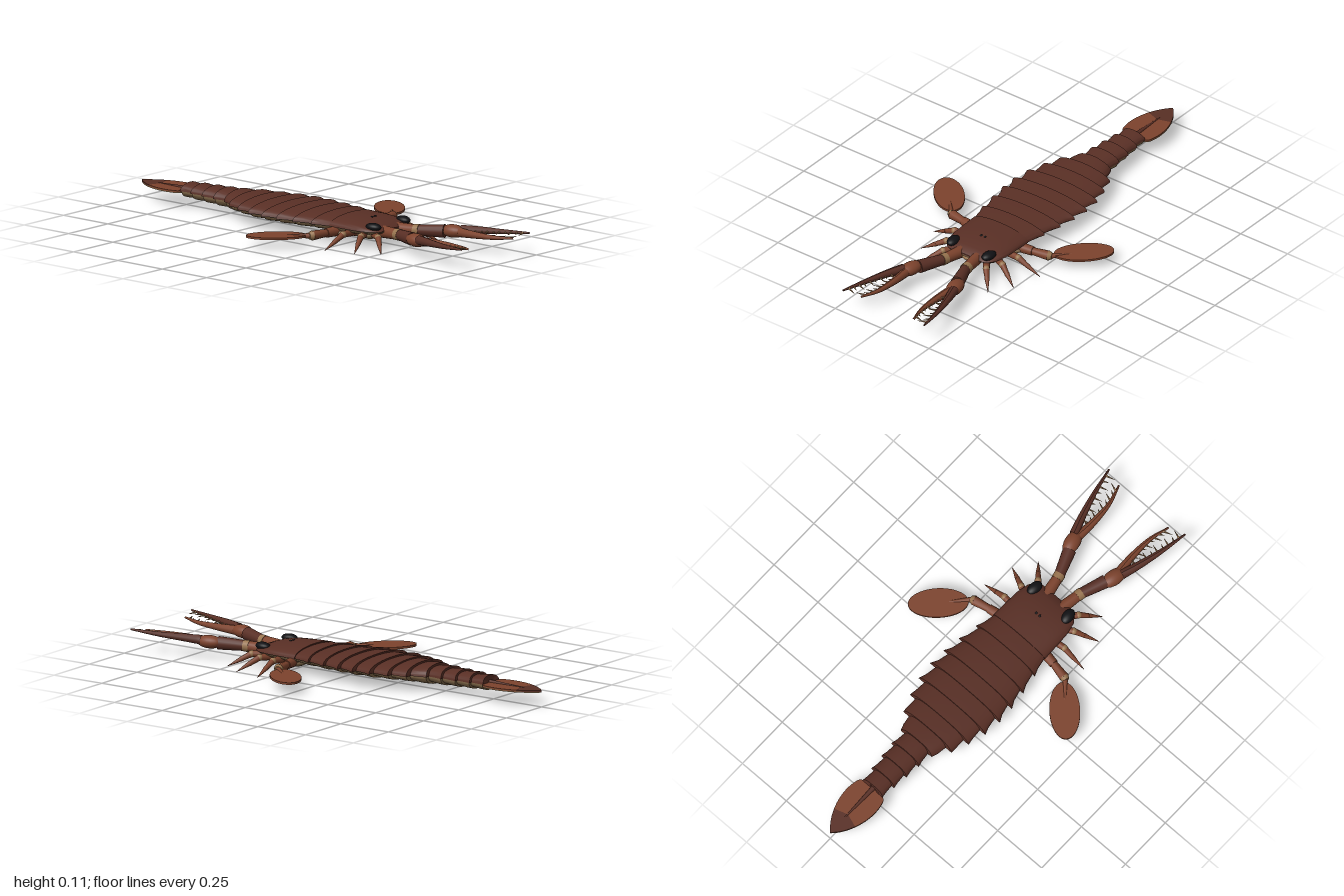
import * as THREE from 'three';
import { toCreasedNormals } from 'three/addons/utils/BufferGeometryUtils.js';

const material = (name, color, side = THREE.FrontSide) => {
  const m = new THREE.MeshStandardMaterial({ color, side });
  m.name = name;
  return m;
};
const V = (x, y, z) => new THREE.Vector3(x, y, z);

export function createModel() {
  const model = new THREE.Group();
  const shell = material('dark brown shell', 0x592f25, THREE.DoubleSide);
  const limb = material('red brown limb', 0x7d432d);
  const belly = material('tan belly', 0x806748, THREE.DoubleSide);
  const joint = material('pale joint', 0x98744f);
  const black = material('black eye', 0x111114);

  const add = (name, geometry, mat, parent = model) => {
    const mesh = new THREE.Mesh(geometry, mat);
    mesh.name = name;
    parent.add(mesh);
    return mesh;
  };

  // Half-ellipse shell through rings [z, halfWidth, height], running to the back
  function loft(rings, lower, yc = 0.07, sweep = 0) {
    const n = 24, pos = [], idx = [];
    rings.forEach(([z, w, h]) => {
      for (let j = 0; j <= n; j++) {
        const t = Math.PI * (j / n + (lower ? 1 : 0));
        const c = Math.cos(t), s = Math.sin(t);
        pos.push(w * c, yc + h * Math.sign(s) * Math.abs(s) ** 0.85, z - sweep * c ** 6);
      }
    });
    for (let i = 0; i < rings.length - 1; i++)
      for (let j = 0; j < n; j++) {
        const a = i * (n + 1) + j, b = a + n + 1;
        idx.push(a, b, a + 1, b, b + 1, a + 1);
      }
    const g = new THREE.BufferGeometry();
    g.setAttribute('position', new THREE.Float32BufferAttribute(pos, 3));
    g.setIndex(idx);
    return toCreasedNormals(g, 0.6);
  }

  // Tapered limb piece between two points
  function piece(name, a, b, r0, r1, mat, parent, sides = 12) {
    const d = b.clone().sub(a);
    const mesh = add(name, new THREE.CylinderGeometry(r1, r0, d.length(), sides), mat, parent);
    mesh.position.copy(a).addScaledVector(d, 0.5);
    mesh.quaternion.setFromUnitVectors(V(0, 1, 0), d.normalize());
    return mesh;
  }

  function blob(name, at, size, mat, parent) {
    const mesh = add(name, new THREE.SphereGeometry(1, 20, 14), mat, parent);
    mesh.position.copy(at);
    mesh.scale.copy(size);
    return mesh;
  }

  // Tube whose rings shrink toward the end of the curve
  function taperedTube(curve, r0, r1) {
    const n = 16, sides = 10, g = new THREE.TubeGeometry(curve, n, r0, sides);
    const p = g.attributes.position, v = V(0, 0, 0);
    for (let i = 0; i < p.count; i++) {
      const u = Math.floor(i / (sides + 1)) / n, c = curve.getPointAt(u);
      v.fromBufferAttribute(p, i).sub(c).multiplyScalar(1 + (r1 / r0 - 1) * u).add(c);
      p.setXYZ(i, v.x, v.y, v.z);
    }
    g.computeVertexNormals();
    return g;
  }

  // Head shield, its underside and two simple eyes
  const head = [[0.425, 0, 0.004], [0.425, 0.085, 0.006], [0.415, 0.108, 0.014], [0.385, 0.13, 0.024],
    [0.33, 0.142, 0.034], [0.26, 0.145, 0.039], [0.185, 0.147, 0.041], [0.185, 0.12, 0.03]];
  add('headShield', loft(head, false), shell);
  add('headUnderside', loft(head.map(([z, w, h]) => [z, w * 0.95, h * 0.85]), true), belly);
  for (const x of [-0.01, 0.01]) blob('simpleEye', V(x, 0.106, 0.305), V(0.005, 0.004, 0.006), black);

  // Body rings: back edge z, back half width, front half width, height
  const segments = [
    [0.105, 0.168, 0.143, 0.042], [0.015, 0.184, 0.152, 0.043], [-0.068, 0.195, 0.162, 0.044],
    [-0.148, 0.199, 0.168, 0.044], [-0.23, 0.19, 0.168, 0.044], [-0.31, 0.167, 0.158, 0.044],
    [-0.385, 0.137, 0.138, 0.045], [-0.455, 0.088, 0.106, 0.044], [-0.525, 0.078, 0.066, 0.041],
    [-0.595, 0.072, 0.062, 0.038], [-0.665, 0.065, 0.056, 0.036], [-0.73, 0.057, 0.05, 0.033]];
  let z0 = 0.19;
  segments.forEach(([z1, wb, wf, h], i) => {
    const tail = i > 6, low = tail ? 0.95 : 0.8;
    const zm = z0 + (z1 - z0) * 0.6, wm = wf + (wb - wf) * 0.45;
    add('backPlate' + (i + 1), loft([[z0 + 0.01, wf, h - 0.008], [zm, wm, h - 0.002],
      [z1, wb, h], [z1, wb * 0.85, h * 0.75], [z1, 0, 0]], false, 0.07, 0.006), shell);
    add('bellyPlate' + (i + 1), loft([[z0 + 0.01, wf * 0.95, h * low - 0.005], [zm, wm * 0.95, h * low],
      [z1, wb * 0.93, h * low], [z1, wb * 0.85, h * low * 0.8], [z1, 0, 0]], true, 0.07), belly);
    z0 = z1;
  });

  // Flat tail blade: lighter main part, dark tip, tan underside and a raised keel
  const main = new THREE.Shape();
  main.moveTo(0, 0.725);
  main.bezierCurveTo(0.04, 0.725, 0.07, 0.73, 0.074, 0.755);
  main.bezierCurveTo(0.088, 0.81, 0.078, 0.865, 0.06, 0.91);
  main.lineTo(0, 0.89);
  main.lineTo(-0.06, 0.91);
  main.bezierCurveTo(-0.078, 0.865, -0.088, 0.81, -0.074, 0.755);
  main.bezierCurveTo(-0.07, 0.73, -0.04, 0.725, 0, 0.725);
  const tip = new THREE.Shape();
  tip.moveTo(0, 0.89);
  tip.lineTo(0.06, 0.91);
  tip.quadraticCurveTo(0.038, 0.965, 0, 1);
  tip.quadraticCurveTo(-0.038, 0.965, -0.06, 0.91);
  const plate = (name, shape, y, depth, mat) => {
    const g = new THREE.ExtrudeGeometry(shape, { depth, bevelEnabled: false, curveSegments: 12 });
    g.rotateX(-Math.PI / 2);
    add(name, g, mat).position.y = y;
  };
  plate('tailBlade', main, 0.067, 0.006, limb);
  plate('tailTip', tip, 0.067, 0.006, shell);
  plate('tailBladeUnderside', main, 0.063, 0.004, belly);
  plate('tailTipUnderside', tip, 0.063, 0.004, belly);
  piece('tailKeel', V(0, 0.071, -0.72), V(0, 0.071, -0.91), 0.012, 0.003, shell, model, 8);

  // Mouth plates
  blob('mouthPlate', V(0, 0.04, 0.27), V(0.045, 0.018, 0.085), belly);
  blob('lip', V(0, 0.055, 0.405), V(0.035, 0.015, 0.022), joint);

  for (const s of [1, -1]) {
    const side = s > 0 ? 'left' : 'right';
    const P = (x, y, z) => V(s * x, y, z);
    const group = (name) => {
      const g = new THREE.Group();
      g.name = side + name;
      model.add(g);
      return g;
    };

    const eye = blob(side + 'Eye', P(0.095, 0.089, 0.388), V(0.024, 0.017, 0.037), black);
    eye.rotation.y = -s * 0.12;

    // Three walking legs with root plates beneath the head
    const legs = group('WalkingLegs');
    [[0.05, 0.27, 0.17, 0.282, 0.283, 0.28], [0.06, 0.32, 0.15, 0.365, 0.247, 0.415],
      [0.055, 0.35, 0.115, 0.432, 0.183, 0.508]].forEach(([ax, az, bx, bz, cx, cz]) => {
      const a = P(ax, 0.05, az), b = P(bx, 0.053, bz), c = P(cx, 0.002, cz);
      const m = b.clone().lerp(c, 0.4);
      blob('legRoot', P(ax + 0.012, 0.045, az), V(0.036, 0.017, 0.024), belly, legs);
      piece('upperLeg', a, b, 0.018, 0.014, limb, legs);
      blob('legJoint', b, V(0.015, 0.015, 0.015), joint, legs);
      piece('middleLeg', b, m, 0.014, 0.01, limb, legs);
      piece('legPoint', m, c, 0.011, 0.001, limb, legs);
    });

    // Swimming leg with an oval paddle
    const swim = group('SwimmingLeg');
    blob('swimRoot', P(0.085, 0.045, 0.215), V(0.058, 0.02, 0.042), belly, swim);
    piece('swimUpper', P(0.09, 0.052, 0.215), P(0.185, 0.05, 0.2), 0.024, 0.02, limb, swim);
    piece('swimMiddle', P(0.18, 0.05, 0.201), P(0.258, 0.049, 0.185), 0.016, 0.021, limb, swim);
    piece('swimJoint', P(0.256, 0.049, 0.186), P(0.272, 0.049, 0.181), 0.022, 0.014, joint, swim);
    piece('swimStem', P(0.265, 0.049, 0.183), P(0.33, 0.049, 0.11), 0.012, 0.005, limb, swim);
    const paddle = add('paddle', new THREE.CylinderGeometry(1, 1, 1, 40), limb, swim);
    paddle.scale.set(0.128, 0.009, 0.065);
    paddle.position.copy(P(0.36, 0.049, 0.075));
    paddle.rotation.y = s * Math.PI / 4;

    // Long pincer arm
    const arm = group('PincerArm');
    piece('armBase', P(0.035, 0.06, 0.36), P(0.058, 0.066, 0.49), 0.028, 0.023, limb, arm, 16);
    piece('armJoint', P(0.057, 0.066, 0.485), P(0.062, 0.067, 0.51), 0.025, 0.025, joint, arm, 16);
    piece('forearm', P(0.061, 0.067, 0.505), P(0.103, 0.072, 0.615), 0.023, 0.029, shell, arm, 16);
    blob('palm', P(0.118, 0.075, 0.65), V(0.034, 0.028, 0.058), limb, arm).rotation.y = s * 0.2;
    const fingers = [
      ['outerFinger', [P(0.135, 0.082, 0.68), P(0.162, 0.087, 0.76), P(0.192, 0.092, 0.87), P(0.217, 0.1, 0.99)], 1],
      ['innerFinger', [P(0.118, 0.074, 0.68), P(0.112, 0.077, 0.78), P(0.117, 0.08, 0.88), P(0.141, 0.086, 0.968)], -1]];
    for (const [name, points, outer] of fingers) {
      const curve = new THREE.CatmullRomCurve3(points);
      add(name, taperedTube(curve, 0.021, 0.004), outer > 0 ? shell : limb, arm);
      // Alternating long and short teeth facing the other finger
      for (let i = 0; i < 9; i++) {
        const a = curve.getPointAt(0.22 + i * 0.085);
        const len = i % 2 ? 0.026 : 0.042;
        const b = a.clone().add(P(-outer * len, -outer * 0.004, 0.014));
        piece('tooth', a, b, 0.006, 0.0005, joint, arm, 6);
      }
    }
  }
  return model;
}
